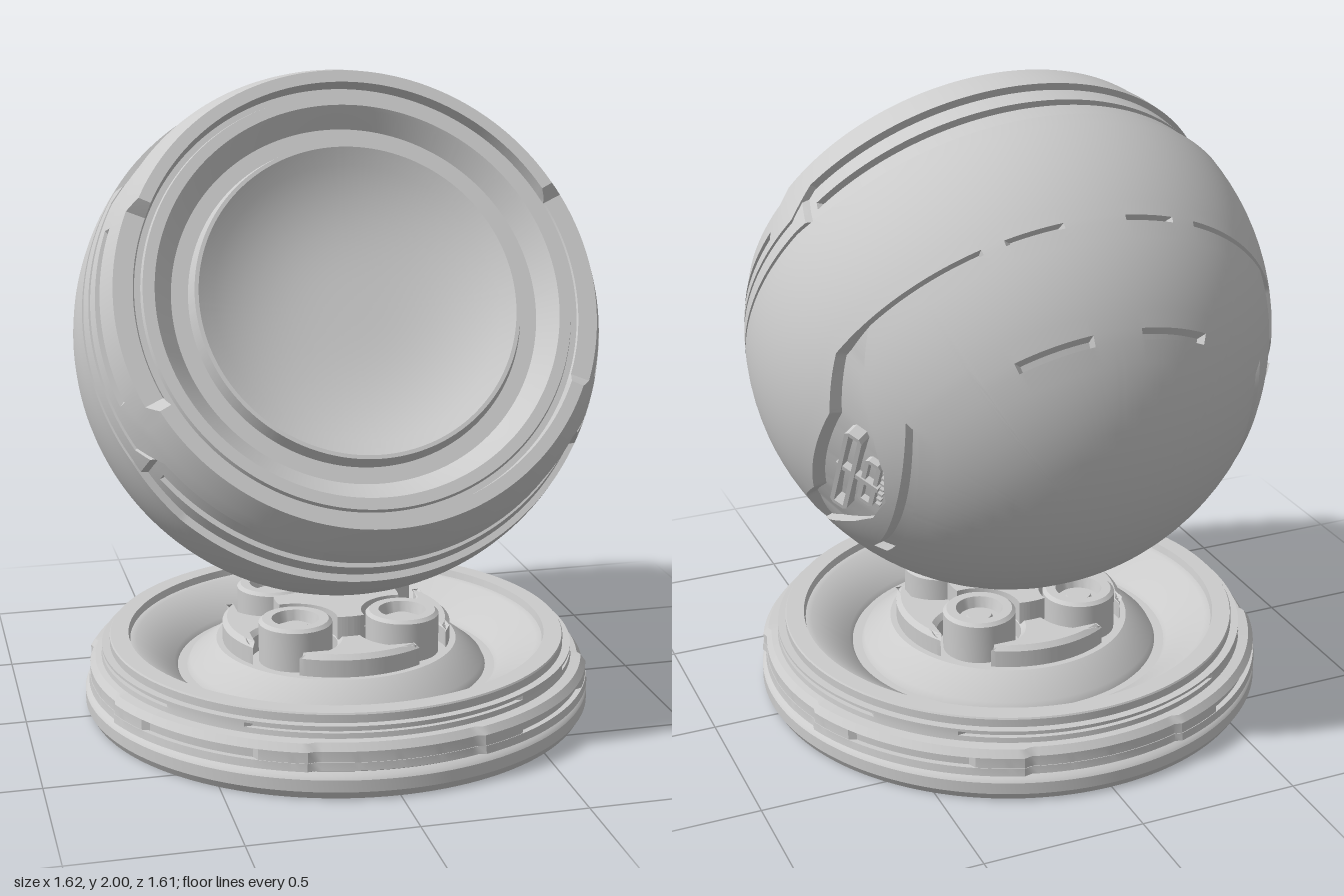
import * as THREE from 'three';
import { toCreasedNormals } from 'three/addons/utils/BufferGeometryUtils.js';

const DEG = Math.PI / 180;
const R = 0.81; // ball radius
const material = new THREE.MeshStandardMaterial({ color: 0xcccccc });

function mesh(name, geometry, parent) {
  const m = new THREE.Mesh(geometry, material);
  m.name = name;
  parent.add(m);
  return m;
}

// Piecewise-linear interpolation through [x, y] pairs
function ramp(x, pts) {
  if (x <= pts[0][0]) return pts[0][1];
  for (let i = 1; i < pts.length; i++) {
    const [x0, y0] = pts[i - 1], [x1, y1] = pts[i];
    if (x <= x1) return y0 + (y1 - y0) * (x - x0) / (x1 - x0);
  }
  return pts[pts.length - 1][1];
}

// Revolve a [radius, height] profile, top to bottom, that may change with the angle
function sweep(profile, n) {
  const pos = [], index = [];
  let m = 0;
  for (let i = 0; i <= n; i++) {
    const t = (i % n) / n * 360, s = Math.sin(t * DEG), c = Math.cos(t * DEG);
    const pts = profile(t);
    m = pts.length;
    for (const [r, h] of pts) pos.push(r * s, h, r * c);
  }
  for (let i = 0; i < n; i++) {
    for (let j = 0; j < m - 1; j++) {
      const a = i * m + j, b = a + 1, d = a + m, c = d + 1;
      index.push(a, b, c, a, c, d);
    }
  }
  const g = new THREE.BufferGeometry();
  g.setAttribute('position', new THREE.Float32BufferAttribute(pos, 3));
  g.setIndex(index);
  return toCreasedNormals(g, 0.5);
}

// Points on the ball at a height along its axis
const onBall = (a, rad = R) => [Math.sqrt(Math.max(0, rad * rad - a * a)), a];
const groove = (a1, a2, depth, before = R, after = R) => [
  onBall(a1, before), onBall(a1, before - depth), onBall(a2, after - depth), onBall(a2, after)];
function arc(a1, a2, n) {
  const t1 = Math.acos(a1 / R), t2 = Math.acos(Math.max(-1, a2 / R)), out = [];
  for (let i = 1; i < n; i++) out.push(onBall(R * Math.cos(t1 + (t2 - t1) * i / n)));
  return out;
}

function ballProfile(t) {
  const f = Math.acos(Math.min(1, Math.abs(Math.cos(t * DEG)))) / DEG; // from top or bottom
  const d = 90 - f; // from the sides
  const pts = [];
  // concave dish
  for (let k = 0; k <= 10; k++) pts.push([0.048 * k, 0.345 - 0.1 * (1 - (k / 10) ** 3)]);
  // stepped bezel, lower at the two sides
  const face = ramp(d, [[24, 0.35], [27, 0.39]]);
  pts.push([0.492, 0.345], [0.505, 0.3], [0.555, 0.3], [0.6, 0.35], [0.61, 0.36], [0.645, 0.36],
    [0.65, 0.345], [0.668, 0.345], [0.672, face], onBall(face));
  // side slot, rim groove, vent groove and body seam
  const slot = ramp(d, [[22, 0.278], [30, 0.32]]);
  const rim = ramp(f, [[54, 0.275], [61, 0.212]]);
  const vent = ramp(f, [[54, 0.2], [61, 0.185]]);
  const body = ramp(f, [[44, 0.118], [60, 0.15]]);
  const band = f < 57 ? 0.793 : R;
  pts.push(...groove(slot, slot - 0.03, d < 20 ? 0.02 : 0));
  pts.push(...groove(rim, rim - 0.015, 0.03, R, band));
  pts.push(...groove(vent, vent - 0.03, f < 53 ? 0.045 : 0, band, band));
  pts.push(...groove(body, body - 0.015, 0.03, band, R));
  // dashed seam that widens into the side recess
  const s1 = ramp(d, [[14, -0.345], [26, -0.262]]);
  const s2 = ramp(d, [[0, -0.56], [10, -0.535], [17.5, -0.475], [33, -0.31], [36, -0.278]]);
  const open = (f > 7.5 && f < 19) || f > 25.6;
  pts.push(...arc(body - 0.015, s1, 9));
  pts.push(...groove(s1, s2, open ? ramp(d, [[28, 0.035], [36, 0.02]]) : 0));
  // short rear dashes and the curved side slots
  const bend = -Math.sqrt(R * R - (0.544 / Math.sin(Math.max(f, 60) * DEG)) ** 2);
  const rear = f < 40 ? -0.55 : bend;
  const rearOpen = (f > 7.7 && f < 28) || d < 28;
  const w = d < 30 ? 0.018 : 0.012;
  pts.push(...arc(s2, rear + w, 6));
  pts.push(...groove(rear + w, rear - w, rearOpen ? 0.02 : 0));
  pts.push(...arc(rear - w, -R, 10), [0, -R]);
  return pts;
}

// Rectangular frame lying in the side recess, standing out along +x
function frame(length, width, hole, height) {
  const l = length / 2, w = width / 2, c = 0.012;
  const shape = new THREE.Shape([[-l + c, -w], [l - c, -w], [l, -w + c], [l, w - c], [l - c, w],
    [-l + c, w], [-l, w - c], [-l, -w + c]].map(p => new THREE.Vector2(...p)));
  const h = l - hole, k = w - hole;
  shape.holes.push(new THREE.Path([[-h, -k], [-h, k], [h, k], [h, -k]].map(p => new THREE.Vector2(...p))));
  return new THREE.ExtrudeGeometry(shape, { depth: height, bevelEnabled: false }).rotateY(Math.PI / 2);
}

function sideLatch() {
  const g = new THREE.Group();
  g.name = 'sideLatch';
  const inner = new THREE.Group();
  inner.name = 'latchParts';
  inner.position.set(0.615, -0.45, 0);
  inner.rotation.z = -36.3 * DEG;
  g.add(inner);
  mesh('longFrame', frame(0.33, 0.06, 0.014, 0.07), inner).position.set(-0.04, 0.045, 0);
  mesh('shortFrame', frame(0.19, 0.055, 0.014, 0.06), inner).position.set(-0.04, -0.03, 0);
  mesh('crossBar', new THREE.BoxGeometry(0.06, 0.15, 0.016), inner).position.set(-0.005, 0.01, 0);
  for (let i = -3; i <= 3; i++) {
    mesh('tick', new THREE.BoxGeometry(0.03, 0.016, 0.008), inner).position.set(0, -0.07, i * 0.024);
  }
  return g;
}

function baseProfile(t) {
  const q = t % 90, e = Math.min(q, 90 - q); // from the nearest axis
  const s = e < 34 ? 0.015 : 0; // upper slots
  const p = e > 18 ? 0.012 : 0; // raised corner panels
  const k = e > 31 ? 0.015 : 0; // panel slots
  return [[0, 0.2], [0.385, 0.2], [0.47, 0.135], [0.48, 0.115], [0.51, 0.115], [0.52, 0.13],
    [0.64, 0.21], [0.66, 0.212], [0.665, 0.235], [0.722, 0.235], [0.725, 0.23], [0.725, 0.205],
    [0.75, 0.205], [0.75, 0.197], [0.75 - s, 0.197], [0.75 - s, 0.184], [0.75, 0.184], [0.752, 0.168],
    [0.772 + p, 0.165], [0.788 + p, 0.143], [0.788 + p - k, 0.143], [0.788 + p - k, 0.11],
    [0.79 + p, 0.11], [0.793 + p, 0.086], [0.782, 0.08], [0.798, 0.072], [0.805, 0.062],
    [0.805, 0.025], [0.79, 0], [0, 0]];
}

// Round plate with four round bites on the diagonals
function bittenPlate(radius, height, bevel) {
  const D = 0.25, B = 0.135;
  const half = Math.acos((radius ** 2 + D * D - B * B) / (2 * radius * D));
  const shape = new THREE.Shape();
  for (let i = 0; i < 4; i++) {
    const diag = Math.PI / 4 + i * Math.PI / 2;
    const cx = D * Math.cos(diag), cy = D * Math.sin(diag);
    const from = diag - half, to = diag + half;
    const angle = a => Math.atan2(radius * Math.sin(a) - cy, radius * Math.cos(a) - cx);
    shape.absarc(0, 0, radius, diag - Math.PI / 2 + half, from, false);
    shape.absarc(cx, cy, B, angle(from), angle(to), true);
  }
  const g = new THREE.ExtrudeGeometry(shape, { depth: height - bevel, curveSegments: 24,
    bevelEnabled: bevel > 0, bevelThickness: bevel, bevelSize: bevel, bevelOffset: -bevel, bevelSegments: 1 });
  return toCreasedNormals(g.rotateX(-Math.PI / 2), 0.5);
}

export function createModel() {
  const model = new THREE.Group();
  model.name = 'displayBall';

  // Ball, its axis tilted 30 degrees above the front
  const ball = new THREE.Group();
  ball.name = 'ball';
  ball.position.y = 1.195;
  ball.rotation.x = 60 * DEG;
  model.add(ball);
  mesh('ballShell', sweep(ballProfile, 360), ball);
  for (let i = 0; i < 2; i++) {
    const latch = sideLatch();
    latch.rotation.y = i * Math.PI;
    ball.add(latch);
  }

  // Stand with a sunken bowl
  const stand = new THREE.Group();
  stand.name = 'stand';
  model.add(stand);
  mesh('base', sweep(baseProfile, 240), stand);
  mesh('hubPlate', bittenPlate(0.365, 0.08, 0.015), stand).position.y = 0.19;
  mesh('hubCross', bittenPlate(0.2, 0.075, 0), stand).position.y = 0.26;

  // Four cups under the ball
  const cup = sweep(() => [[0, 0.312], [0.038, 0.312], [0.044, 0.3], [0.064, 0.3], [0.074, 0.335],
    [0.104, 0.335], [0.115, 0.325], [0.115, 0.15]], 48);
  for (const x of [-0.172, 0.172]) {
    for (const z of [-0.172, 0.172]) mesh('cup', cup, stand).position.set(x, 0, z);
  }
  return model;
}
